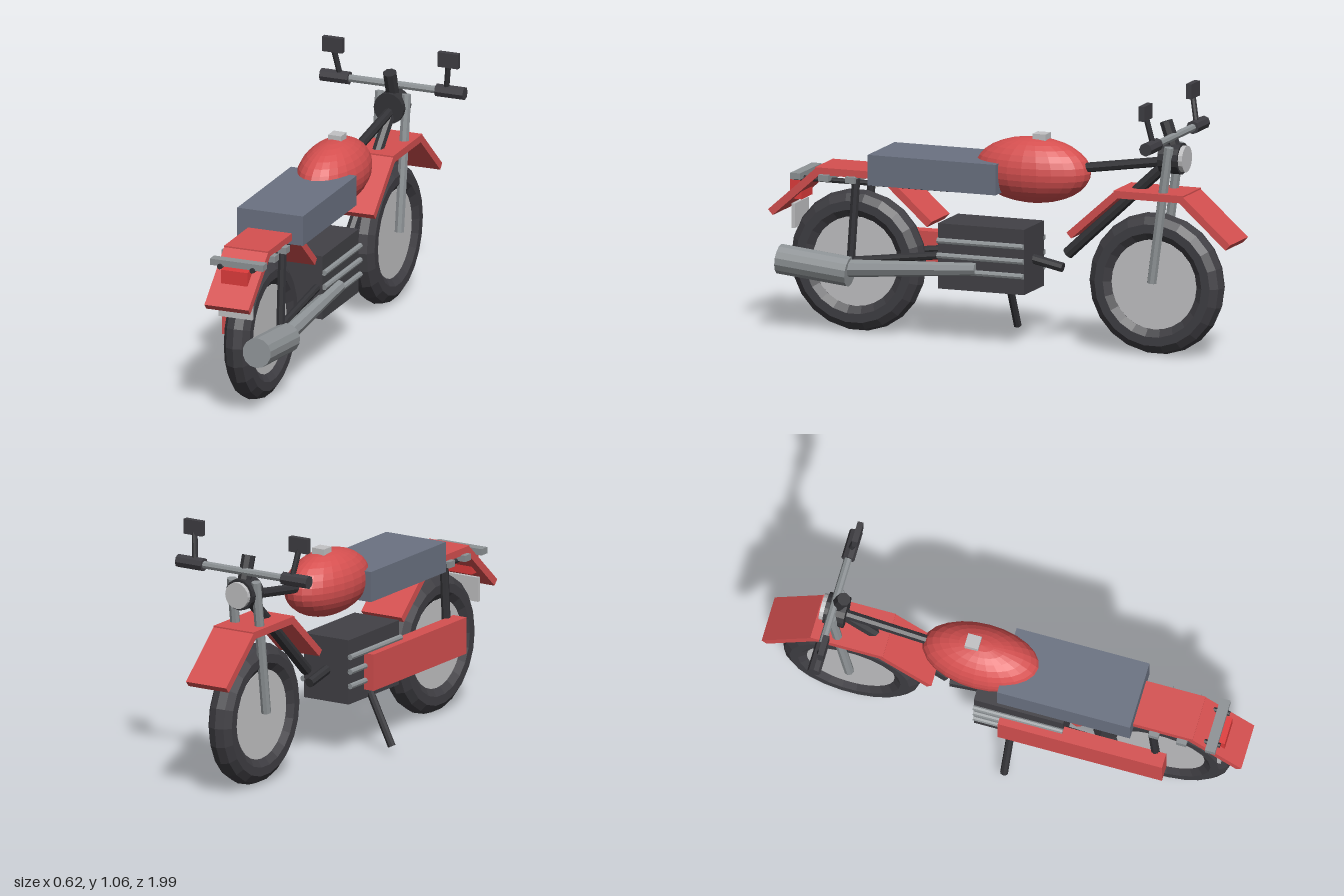
import * as THREE from 'three';

const material = (name, color) => {
  const m = new THREE.MeshStandardMaterial({ color });
  m.name = name;
  return m;
};

export function createModel() {
  const red = material('paint red', 0xd65050);
  const lampRed = material('lamp red', 0xe03c3c);
  const seatGrey = material('seat grey', 0x6b7282);
  const rubber = material('rubber black', 0x3f3e43);
  const black = material('frame black', 0x333337);
  const engineGrey = material('engine charcoal', 0x424146);
  const steel = material('steel', 0x8e9396);
  const chrome = material('pale metal', 0xc2c2c4);

  const bike = new THREE.Group();
  bike.name = 'motorcycle';
  const V = (p) => new THREE.Vector3(...p);

  // Faceted mesh
  function add(name, geometry, mat, pos = [0, 0, 0], parent = bike) {
    const g = geometry.index ? geometry.toNonIndexed() : geometry;
    g.computeVertexNormals();
    const mesh = new THREE.Mesh(g, mat);
    mesh.name = name;
    mesh.position.set(...pos);
    parent.add(mesh);
    return mesh;
  }
  const box = (name, size, pos, mat) => add(name, new THREE.BoxGeometry(...size), mat, pos);

  // Cylinder between two points
  function rod(name, a, b, r, mat, rEnd = r, sides = 8) {
    const from = V(a), dir = V(b).sub(from);
    const mesh = add(name, new THREE.CylinderGeometry(rEnd, r, dir.length(), sides), mat);
    mesh.position.copy(from).addScaledVector(dir, 0.5);
    mesh.quaternion.setFromUnitVectors(new THREE.Vector3(0, 1, 0), dir.normalize());
    return mesh;
  }

  // Wheels and three-panel fenders
  for (const [label, z] of [['rear', 0.643], ['front', -0.64]]) {
    const tyre = add(label + 'Tyre', new THREE.TorusGeometry(0.23, 0.058, 10, 22), rubber, [0, 0.294, z]);
    tyre.rotation.y = Math.PI / 2;
    rod(label + 'WheelDisc', [-0.035, 0.294, z], [0.035, 0.294, z], 0.182, chrome, 0.182, 28);

    box(label + 'FenderTop', [0.19, 0.03, 0.3], [0, 0.66, z], red);
    for (const s of [1, -1]) {
      const slope = box(label + 'FenderFlap', [0.19, 0.03, 0.272], [0, 0.569, z + s * 0.24], red);
      slope.rotation.x = s * 0.727;
    }
  }

  // Seat, tank and engine
  box('seat', [0.284, 0.124, 0.55], [0, 0.69, 0.272], seatGrey);
  const tank = add('fuelTank', new THREE.SphereGeometry(1, 24, 16), red, [0, 0.716, -0.107]);
  tank.scale.set(0.131, 0.133, 0.244);
  box('fuelCap', [0.056, 0.035, 0.056], [0, 0.849, -0.143], chrome);
  box('engine', [0.212, 0.265, 0.37], [0, 0.357, 0.075], engineGrey);
  box('chainGuard', [0.063, 0.15, 0.68], [-0.12, 0.337, 0.342], red);

  // Paired parts
  for (const s of [1, -1]) {
    for (const y of [0.42, 0.36, 0.3]) {
      rod('engineFin', [s * 0.112, y, 0.26], [s * 0.112, y, -0.11], 0.012, steel);
    }
    rod('frontFork', [s * 0.058, 0.86, -0.714], [s * 0.058, 0.305, -0.64], 0.02, steel);
    rod('rearShock', [s * 0.085, 0.64, 0.62], [s * 0.085, 0.3, 0.643], 0.018, black);
    rod('swingArm', [s * 0.08, 0.305, 0.643], [s * 0.08, 0.385, 0.02], 0.016, black);
    rod('rackRail', [s * 0.07, 0.623, 0.9], [s * 0.07, 0.623, 0.22], 0.011, black);
    rod('grip', [s * 0.188, 0.896, -0.715], [s * 0.31, 0.896, -0.715], 0.027, rubber);
    rod('mirrorStem', [s * 0.23, 0.905, -0.715], [s * 0.248, 1.02, -0.692], 0.012, black);
    box('mirror', [0.088, 0.061, 0.024], [s * 0.25, 1.037, -0.692], rubber);
  }

  // Frame tubes
  rod('downTube', [0, 0.79, -0.69], [0, 0.385, -0.255], 0.024, black);
  rod('topTube', [0, 0.795, -0.7], [0, 0.72, -0.2], 0.02, black);
  rod('lowerTube', [0, 0.327, -0.235], [0, 0.375, 0], 0.02, black);
  rod('steeringStem', [0, 0.955, -0.678], [0, 0.8, -0.73], 0.028, black);
  rod('kickstand', [-0.08, 0.3, 0.045], [-0.21, 0.033, 0.045], 0.016, black);

  // Handlebar and headlight
  rod('handlebar', [-0.2, 0.896, -0.715], [0.2, 0.896, -0.715], 0.016, steel);
  rod('headlightBody', [0, 0.807, -0.665], [0, 0.807, -0.75], 0.064, black, 0.064, 16);
  rod('headlightLens', [0, 0.807, -0.745], [0, 0.807, -0.768], 0.054, chrome, 0.054, 16);

  // Exhaust
  rod('exhaustPipe', [0.108, 0.278, 0.65], [0.108, 0.315, 0.095], 0.036, steel, 0.026);
  rod('muffler', [0.107, 0.265, 0.637], [0.107, 0.295, 0.938], 0.061, steel, 0.061, 14);

  // Luggage rack, tail lamp and plate
  for (const z of [0.87, 0.75, 0.635]) {
    box('rackSlat', [0.23, 0.026, 0.042], [0, 0.636, z], steel);
  }
  box('tailLamp', [0.115, 0.085, 0.05], [0, 0.575, 0.89], lampRed);
  box('rearPlate', [0.146, 0.1, 0.015], [0, 0.467, 0.895], chrome);

  return bike;
}
